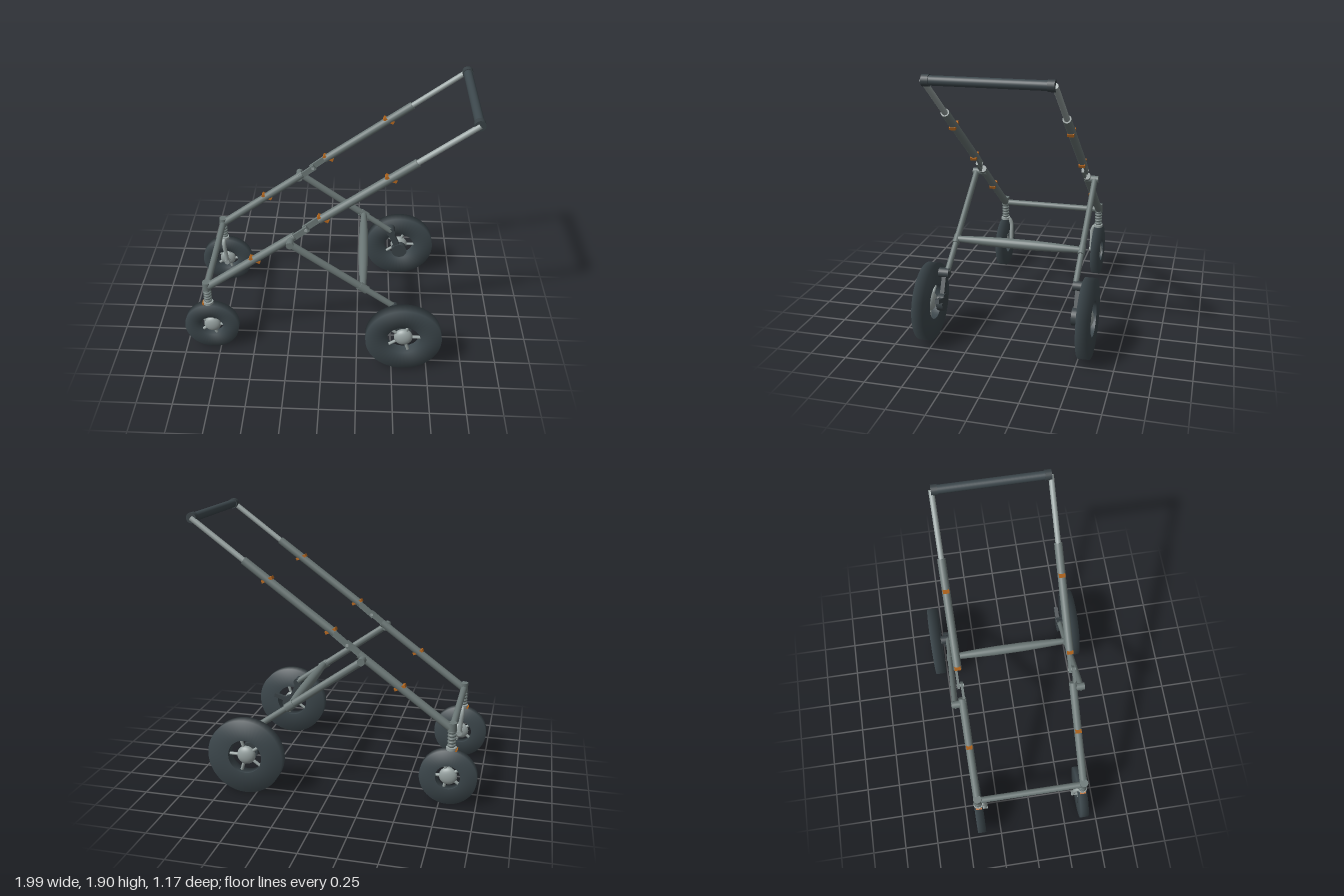
import * as THREE from 'three';

const mat = (name, color) => {
  const m = new THREE.MeshStandardMaterial({ color });
  m.name = name;
  return m;
};

export function createModel() {
  const root = new THREE.Group();
  root.name = 'foldingCart';
  const frame = mat('frameGrey', 0x6c7877);
  const light = mat('lightMetal', 0x97a2a1);
  const rubber = mat('darkRubber', 0x3d484d);
  const dark = mat('darkMetal', 0x394246);
  const orange = mat('orangeClamp', 0xb8691f);

  const V = (x, y, z) => new THREE.Vector3(x, y, z);
  const add = (parent, name, geo, material, pos) => {
    const m = new THREE.Mesh(geo, material);
    m.name = name;
    if (pos) m.position.copy(pos);
    parent.add(m);
    return m;
  };
  // Round bar between two points
  const rod = (parent, name, a, b, r, material, r2 = r, sides = 20) => {
    const d = b.clone().sub(a);
    const m = add(parent, name, new THREE.CylinderGeometry(r2, r, d.length(), sides), material,
      a.clone().add(b).multiplyScalar(0.5));
    m.quaternion.setFromUnitVectors(V(0, 1, 0), d.normalize());
    return m;
  };
  // Flat plate in the xy plane between two points
  const plate = (parent, name, a, b, width, depth, material) => {
    const d = b.clone().sub(a);
    const m = add(parent, name, new THREE.BoxGeometry(d.length(), width, depth), material,
      a.clone().add(b).multiplyScalar(0.5));
    m.rotation.z = Math.atan2(d.y, d.x);
    return m;
  };

  // Wheel: square-section tyre, five spokes, domed hub
  const wheel = (name, x, y, z, outer, inner, width, hub) => {
    const g = new THREE.Group();
    g.name = name;
    g.position.set(x, y, z);
    const w = width / 2;
    const profile = [[inner, -w], [outer, -w], [outer, w], [inner, w], [inner, -w]]
      .map(p => new THREE.Vector2(...p));
    add(g, 'tyre', new THREE.LatheGeometry(profile, 48), rubber).rotation.x = Math.PI / 2;
    add(g, 'hub', new THREE.SphereGeometry(hub, 24, 16), light).scale.z = w / hub;
    for (let i = 0; i < 5; i++) {
      const a = i * Math.PI * 0.4;
      const c = Math.cos(a), s = Math.sin(a);
      rod(g, 'spoke', V(c * hub * 0.7, s * hub * 0.7, 0),
        V(c * (inner + 0.01), s * (inner + 0.01), 0), 0.011, light, 0.011, 10);
    }
    root.add(g);
  };

  for (const s of [1, -1]) {
    const side = new THREE.Group();
    side.name = s > 0 ? 'frontSideFrame' : 'backSideFrame';
    root.add(side);
    const z = 0.392 * s;

    // Sloping main bar, in three sections
    rod(side, 'lowerBar', V(-0.805, 0.55, z), V(-0.185, 1.01, z), 0.028, frame);
    rod(side, 'upperBar', V(-0.02, 1.145, z), V(0.6, 1.602, z), 0.028, frame);
    rod(side, 'handleTube', V(0.59, 1.595, z), V(0.96, 1.87, z), 0.019, light);

    // Fold joint: two overlapping plates and a pin
    plate(side, 'lowerHingePlate', V(-0.21, 0.99, z + 0.012), V(-0.095, 1.082, z + 0.012), 0.042, 0.018, frame);
    plate(side, 'upperHingePlate', V(-0.125, 1.06, z - 0.012), V(-0.01, 1.152, z - 0.012), 0.042, 0.018, frame);
    rod(side, 'hingePin', V(-0.11, 1.072, z - 0.024), V(-0.11, 1.072, z + 0.026), 0.011, light);

    // Orange clamps through the bar
    for (const [x, y] of [[-0.465, 0.802], [0.005, 1.16], [0.437, 1.482]]) {
      add(side, 'clamp', new THREE.BoxGeometry(0.08, 0.02, 0.044), orange, V(x, y, z)).rotation.z = -0.42;
    }

    // Rear leg with its pivot and collar
    const zl = 0.447 * s;
    rod(side, 'rearLeg', V(-0.225, 0.985, zl), V(0.28, 0.622, zl), 0.026, frame).scale.z = 0.8;
    rod(side, 'rearLegEnd', V(0.28, 0.622, zl), V(0.5, 0.464, zl), 0.022, frame).scale.z = 0.9;
    rod(side, 'legCollar', V(0.255, 0.64, zl), V(0.31, 0.6, zl), 0.031, frame).scale.z = 0.8;
    rod(side, 'legPivot', V(-0.215, 0.98, z - 0.02 * s), V(-0.215, 0.98, 0.472 * s), 0.026, frame);

    // Rear suspension: knuckle, swing arm, axle plate
    rod(side, 'knuckle', V(0.5, 0.455, 0.432 * s), V(0.5, 0.455, 0.503 * s), 0.034, dark);
    plate(side, 'swingArm', V(0.49, 0.46, 0.465 * s), V(0.575, 0.27, 0.465 * s), 0.045, 0.03, dark);
    rod(side, 'axlePlate', V(0.575, 0.27, 0.443 * s), V(0.575, 0.27, 0.487 * s), 0.06, dark, 0.06, 28);
    rod(side, 'rearAxle', V(0.575, 0.27, 0.47 * s), V(0.575, 0.27, 0.55 * s), 0.018, dark);
    wheel('rearWheel', 0.575, 0.268, 0.547 * s, 0.267, 0.12, 0.076, 0.066);

    // Caster post, spring and bottom seat
    const x = -0.82;
    rod(side, 'casterPost', V(x, 0.525, z), V(x, 0.585, z), 0.03, frame);
    rod(side, 'springCore', V(x, 0.4, z), V(x, 0.54, z), 0.018, frame);
    for (let i = 0; i < 5; i++) {
      add(side, 'springCoil', new THREE.TorusGeometry(0.021, 0.009, 10, 24), frame,
        V(x, 0.424 + i * 0.024, z)).rotation.x = Math.PI / 2;
    }
    rod(side, 'springSeat', V(x, 0.392, z), V(x, 0.41, z), 0.036, light);
    add(side, 'casterLock', new THREE.BoxGeometry(0.025, 0.018, 0.044), orange, V(-0.848, 0.396, z)).rotation.z = 0.4;

    // One-sided caster fork on the inner face of the wheel
    const path = new THREE.CatmullRomCurve3([
      V(x, 0.398, z), V(x, 0.393, 0.362 * s), V(x, 0.355, 0.343 * s),
      V(-0.812, 0.28, 0.342 * s), V(-0.805, 0.195, 0.342 * s),
    ]);
    add(side, 'casterFork', new THREE.TubeGeometry(path, 24, 0.016, 12), light);
    rod(side, 'casterAxle', V(-0.805, 0.196, 0.325 * s), V(-0.805, 0.196, z), 0.02, light);
    wheel('casterWheel', -0.805, 0.196, 0.394 * s, 0.195, 0.085, 0.061, 0.062);

    // Grip end cap
    rod(side, 'gripCap', V(0.958, 1.87, 0.352 * s), V(0.958, 1.87, 0.395 * s), 0.036, dark);
  }

  // Brake lever on the front side only
  plate(root, 'brakeLever', V(0.575, 0.29, 0.455), V(0.7, 0.33, 0.455), 0.03, 0.03, dark);

  // Bars joining the two sides
  rod(root, 'handleGrip', V(0.958, 1.87, -0.37), V(0.958, 1.87, 0.37), 0.03, rubber, 0.03, 28);
  rod(root, 'frontCrossbar', V(-0.82, 0.54, -0.392), V(-0.82, 0.54, 0.392), 0.023, frame);
  const bulge = [[0.022, -0.44], [0.025, -0.37], [0.031, -0.25], [0.035, -0.1],
    [0.035, 0.1], [0.031, 0.25], [0.025, 0.37], [0.022, 0.44]].map(p => new THREE.Vector2(...p));
  add(root, 'rearCrossbar', new THREE.LatheGeometry(bulge, 24), frame, V(0.282, 0.625, 0)).rotation.x = Math.PI / 2;

  return root;
}
